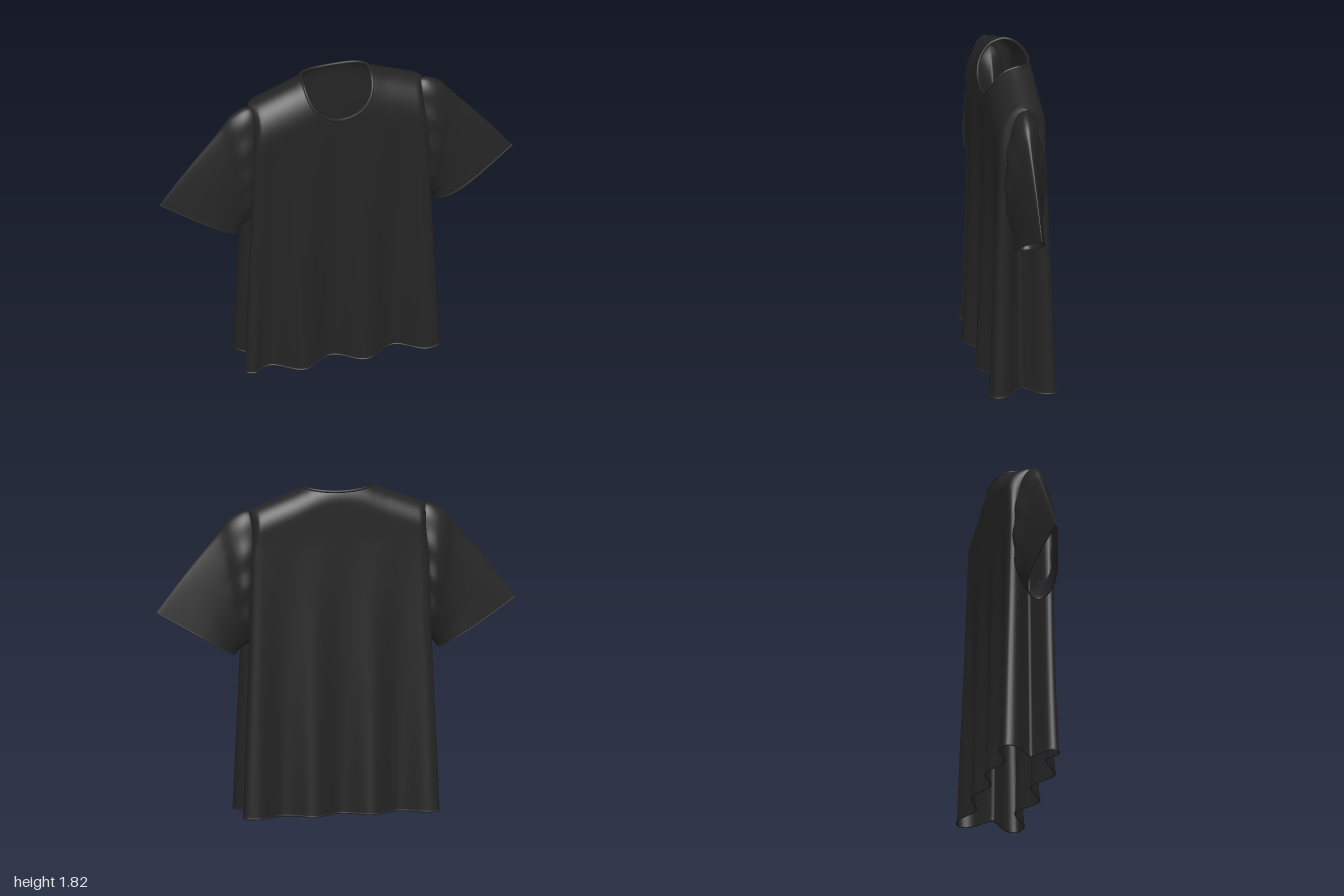
import * as THREE from 'three';
import { mergeVertices } from 'three/addons/utils/BufferGeometryUtils.js';

const { lerp, clamp, smoothstep } = THREE.MathUtils;
const NECK = 0.192, PANEL = 0.44, ROLL = 0.05;

const cloth = new THREE.MeshStandardMaterial({ color: 0x242424, side: THREE.DoubleSide });

// Smooth sheet wrapped around in u, open in v
function wrapGrid(nu, nv, point) {
  const pos = [], index = [];
  for (let j = 0; j <= nv; j++) {
    for (let i = 0; i < nu; i++) pos.push(...point(i, j / nv).toArray());
  }
  for (let j = 0; j < nv; j++) {
    for (let i = 0; i < nu; i++) {
      const k = (i + 1) % nu;
      const a = j * nu + i, b = j * nu + k, c = b + nu, d = a + nu;
      index.push(a, b, c, a, c, d);
    }
  }
  let g = new THREE.BufferGeometry();
  g.setAttribute('position', new THREE.Float32BufferAttribute(pos, 3));
  g.setIndex(index);
  g = mergeVertices(g, 1e-5);
  g.computeVertexNormals();
  return g;
}

function addMesh(group, name, geometry) {
  const m = new THREE.Mesh(geometry, cloth);
  m.name = name;
  group.add(m);
}

// Rolled edge following a closed line of points
function edgeRoll(points, radius) {
  const curve = new THREE.CatmullRomCurve3(points, true);
  return new THREE.TubeGeometry(curve, 200, radius, 8, true);
}

const curveXY = (pts) => new THREE.CatmullRomCurve3(pts.map(([x, y]) => new THREE.Vector3(x, y, 0)));

// Side edge of a panel: x is the offset outward, y the share of the depth;
// it rolls round and tucks into a groove between front and back
const sideRoll = curveXY([[0, 1], [0.033, 0.95], [ROLL, 0.74], [0.03, 0.48], [-0.03, 0.22], [-0.07, 0]]);

// Half width of the body at height y
const halfWidth = (y) => (y < 0.95 ? lerp(0.545, 0.507, y / 0.95) : lerp(0.507, PANEL + ROLL, clamp((y - 0.95) / 0.6, 0, 1)));

// Height of the shoulder line, raised across the neck so the back stays upright there
function shoulderY(x) {
  const a = Math.abs(x);
  if (a < NECK) return 1.812 + 0.05 * (1 - (a / NECK) ** 2);
  return a < 0.26 ? lerp(1.812, 1.782, (a - NECK) / (0.26 - NECK)) : lerp(1.782, 1.695, (a - 0.26) / 0.23);
}

// Upper end of a body column: neckline inside, shoulder seam outside
function columnTop(x, front) {
  const q = Math.min(1, Math.abs(x) / NECK);
  if (q > 0.9999) return shoulderY(x);
  return front ? 1.812 - 0.212 * Math.sqrt(1 - q * q) : 1.812 - 0.018 * (1 - q * q);
}

// Body surface with folds that deepen toward the hem
function bodyPoint({ n, edge, front }, t) {
  const roll = sideRoll.getPoint(edge);
  const plainRoll = ROLL * Math.sqrt(Math.max(0, 1 - roll.y ** 2));
  const xTop = n * PANEL + Math.sign(n) * plainRoll;
  const y = columnTop(xTop, front) * Math.sin(t * Math.PI / 2);
  const panelX = n * (halfWidth(y) - ROLL);
  const x = panelX + Math.sign(n) * lerp(roll.x, plainRoll, smoothstep(y, 1.4, 1.66));
  const seamZ = -0.03 * smoothstep(y, 0.9, 1.8);
  const loose = clamp(1 - y / 1.5, 0, 1);
  const depth = front
    ? 0.124 + loose * (0.014 + 0.045 * Math.cos(2 * Math.PI * (panelX - 0.12) / 0.35))
    : -0.137 - loose * (0.018 + 0.033 * Math.cos(2 * Math.PI * (panelX - 0.155) / 0.32));
  const drop = clamp((shoulderY(xTop) - y) / (front ? 0.25 : 0.13), 0, 1);
  const cap = Math.sqrt(1 - (1 - drop) ** 2);
  return new THREE.Vector3(x, y, seamZ + (depth - seamZ) * cap * roll.y);
}

// Columns around the body, packed at the neck corners and the side rolls
function bodyColumns() {
  const n0 = NECK / PANEL, half = [];
  for (let i = 1; i <= 18; i++) half.push({ n: n0 * Math.sin((i / 18) * Math.PI / 2), edge: 0 });
  for (let i = 1; i <= 18; i++) half.push({ n: lerp(n0, 1, i / 18), edge: 0 });
  for (let i = 1; i <= 16; i++) half.push({ n: 1, edge: i / 16 });
  const all = [...half.map((c) => ({ ...c, n: -c.n })).reverse(), { n: 0, edge: 0 }, ...half];
  const front = all.map((c) => ({ ...c, front: true }));
  const back = all.slice(1, -1).reverse().map((c) => ({ ...c, front: false }));
  return [...front, ...back];
}

// Sleeve guide lines along the top and the underarm
const sleeveTop = curveXY([[0.43, 1.66], [0.5, 1.688], [0.59, 1.648], [0.66, 1.565], [0.85, 1.335], [0.997, 1.14]]);
const sleeveUnder = curveXY([[0.43, 0.99], [0.5, 0.945], [0.535, 0.92], [0.562, 0.889]]);

// Sleeve surface: flattened rings, pinched along the top of the hem and fuller below
function sleevePoint(side, angle, s) {
  const u = (1 - Math.cos(angle)) / 2;
  const p = sleeveTop.getPoint(s).lerp(sleeveUnder.getPoint(s), u);
  const crease = 0.006 * Math.sin(u * 26) * Math.sin(Math.PI * clamp(s * 1.5, 0, 1));
  const depth = lerp(0.075, 0.118, smoothstep(s, 0, 0.35)) - 0.038 * smoothstep(s, 0.35, 0.85) + crease;
  const shape = lerp(lerp(1.15, 0.2, s), lerp(0.95, 1.35, s), u);
  p.z = depth * Math.sin(angle) * shape - 0.012 * (1 - s);
  p.x *= side;
  return p;
}

export function createModel() {
  const shirt = new THREE.Group();
  shirt.name = 'shirt';

  // Body
  const cols = bodyColumns();
  addMesh(shirt, 'body', wrapGrid(cols.length, 60, (i, t) => bodyPoint(cols[i], t)));

  // Bottom hem
  const hem = cols.map((c) => bodyPoint(c, 0).setY(0.005));
  addMesh(shirt, 'bottomHem', edgeRoll(hem, 0.005));

  // Collar edge around the neckline
  const corner = NECK / PANEL;
  const neck = cols.filter((c) => Math.abs(c.n) < corner - 1e-6 || (c.front && Math.abs(c.n) < corner + 1e-6));
  addMesh(shirt, 'collar', edgeRoll(neck.map((c) => bodyPoint(c, 1)), 0.008));

  // Sleeves with their hems
  const around = 64;
  for (const side of [1, -1]) {
    const name = side > 0 ? 'left' : 'right';
    const at = (i, s) => sleevePoint(side, side * (i / around) * Math.PI * 2, s);
    addMesh(shirt, name + 'Sleeve', wrapGrid(around, 36, at));
    const rim = Array.from({ length: around }, (_, i) => at(i, 1));
    addMesh(shirt, name + 'SleeveHem', edgeRoll(rim, 0.004));
  }
  return shirt;
}
